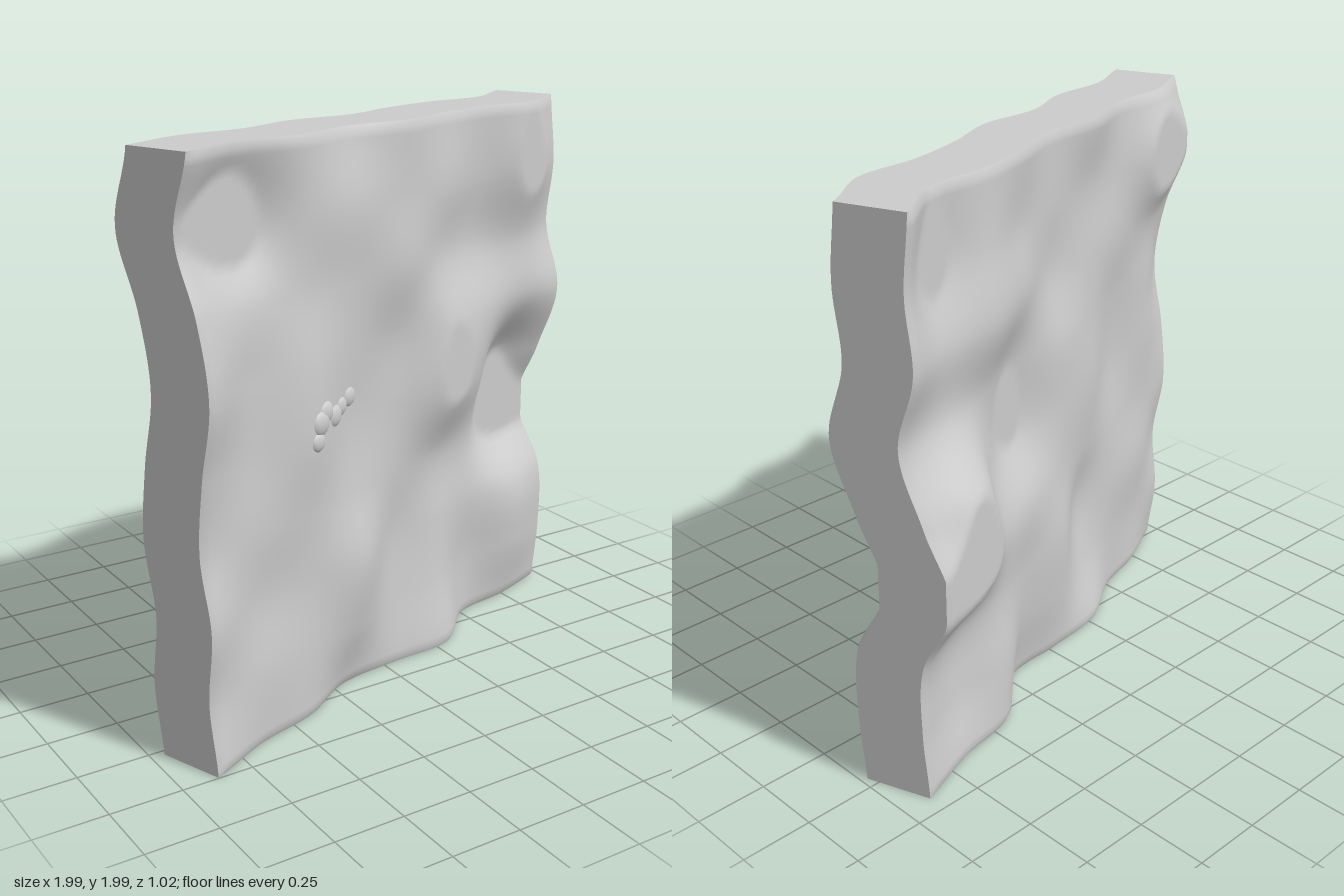
import * as THREE from 'three';

const WIDTH = 1.98, HEIGHT = 1.985, THICK = 0.26;

// Height field of the waves in hundredths, rows from top to bottom, columns from right to left
const WAVES = [
  [0, -3, 2, 0, 6, 4, 5, 10, 3],
  [-6, -11, 1, 4, 6, 6, 4, 12, 5],
  [2, -1, 1, 3, 7, 4, 1, 6, 3],
  [6, 0, 4, 2, 3, 10, 7, 7, 9],
  [2, 0, 5, 1, 3, 11, 5, -7, 1],
  [0, 1, 3, 3, 2, 2, -1, -10, -8],
  [4, 0, 2, 7, 0, 3, 1, 5, 3],
  [2, 2, 3, 4, 1, 5, -1, 6, 4],
  [5, 2, 3, -2, 3, 9, -1, 2, 2],
];

// Smooth cubic through evenly spaced values
function cubic(values, t) {
  const i = Math.min(Math.floor(t), values.length - 2), f = t - i;
  const at = (k) => values[THREE.MathUtils.clamp(k, 0, values.length - 1)];
  const a = at(i - 1), b = at(i), c = at(i + 1), d = at(i + 2);
  return b + 0.5 * f * (c - a + f * (2 * a - 5 * b + 4 * c - d + f * (3 * (b - c) + d - a)));
}

// Offset of the sheet at a point; peaks and hollows are cut off flat
function offset(x, y) {
  const s = THREE.MathUtils.clamp((x / WIDTH + 0.5) * 8, 0, 8);
  const t = THREE.MathUtils.clamp((0.5 - y / HEIGHT) * 8, 0, 8);
  const h = cubic(WAVES.map((row) => cubic(row, s)), t);
  return THREE.MathUtils.clamp(h, -6, 10) / 100;
}

export function createModel() {
  const stone = new THREE.MeshStandardMaterial({ color: 0xcccccc });
  stone.name = 'grey stone';
  const model = new THREE.Group();
  model.name = 'wavySlab';

  // Slab turned about the vertical axis
  const panel = new THREE.Group();
  panel.name = 'panel';
  panel.rotation.y = THREE.MathUtils.degToRad(20);
  panel.position.y = HEIGHT / 2;
  model.add(panel);

  // Bent sheet with slightly softened front and back rims
  const geometry = new THREE.BoxGeometry(WIDTH, HEIGHT, THICK, 90, 90, 4);
  const p = geometry.attributes.position;
  for (let i = 0; i < p.count; i++) {
    const x = p.getX(i), y = p.getY(i);
    const rim = Math.min(WIDTH / 2 - Math.abs(x), HEIGHT / 2 - Math.abs(y));
    const soft = rim < 0.005 ? 0.92 : 1;
    p.setZ(i, p.getZ(i) * soft + offset(x, y));
  }
  geometry.computeVertexNormals();
  const slab = new THREE.Mesh(geometry, stone);
  slab.name = 'slab';
  panel.add(slab);

  // Small cluster of half-buried lumps on the front
  const lumps = new THREE.Group();
  lumps.name = 'lumps';
  panel.add(lumps);
  const ball = new THREE.SphereGeometry(1, 16, 12);
  const spots = [
    [-0.475, 0.99, 0.035], [-0.46, 1.05, 0.045], [-0.43, 1.08, 0.04],
    [-0.37, 1.05, 0.04], [-0.325, 1.07, 0.035], [-0.27, 1.09, 0.037],
  ];
  for (const [x, height, r] of spots) {
    const y = height - HEIGHT / 2;
    const lump = new THREE.Mesh(ball, stone);
    lump.name = 'lump';
    lump.position.set(x, y, THICK / 2 + offset(x, y) - r * 0.2);
    lump.scale.set(r, r, r * 0.5);
    lumps.add(lump);
  }
  return model;
}
